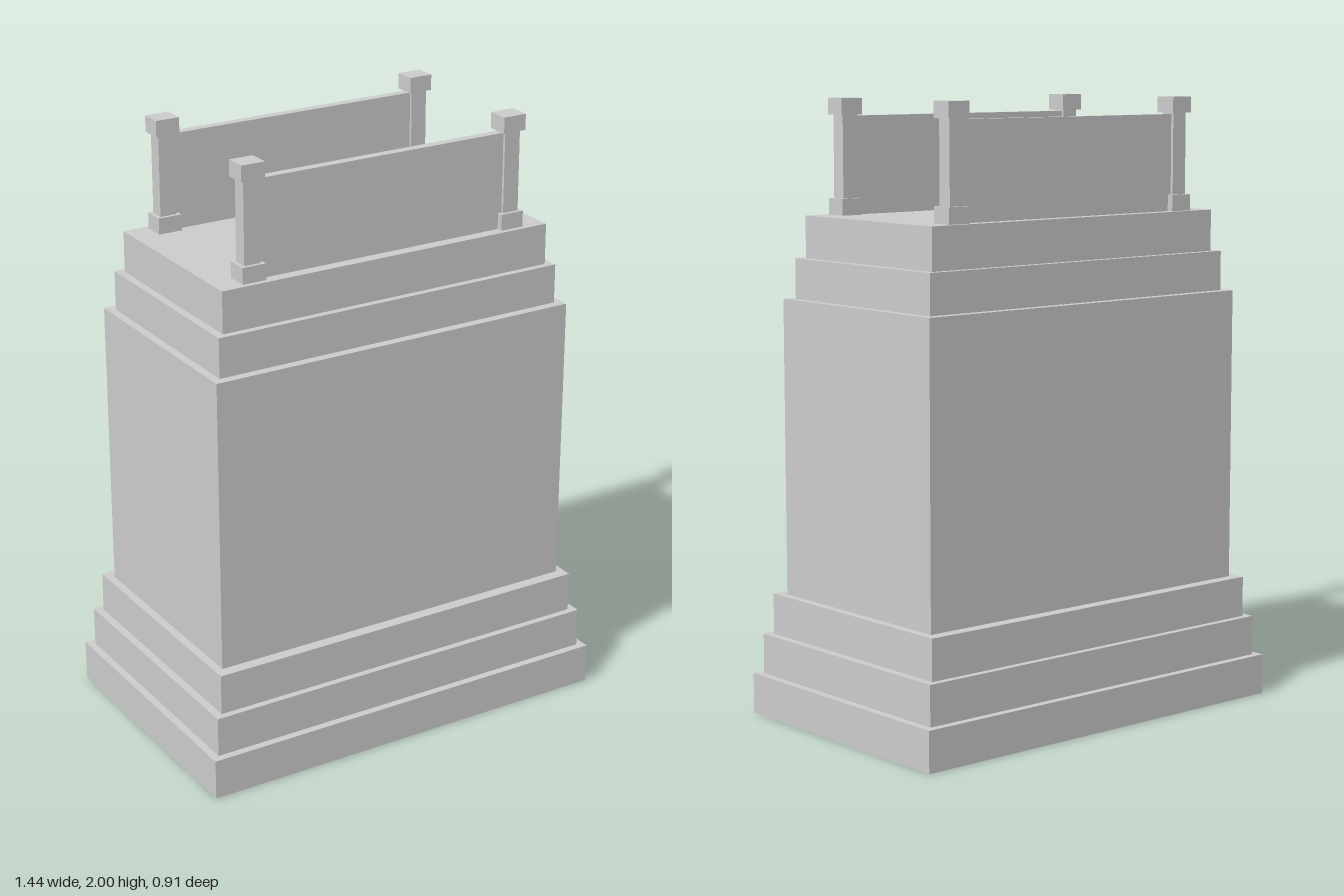
import * as THREE from 'three';

const grey = new THREE.MeshStandardMaterial({ color: 0xcccccc });
const greyDouble = new THREE.MeshStandardMaterial({ color: 0xcccccc, side: THREE.DoubleSide });

// Box given by its width, depth, bottom and top
function block(name, w, d, y0, y1, x = 0, z = 0) {
  const mesh = new THREE.Mesh(new THREE.BoxGeometry(w, y1 - y0, d), grey);
  mesh.name = name;
  mesh.position.set(x, (y0 + y1) / 2, z);
  return mesh;
}

export function createModel() {
  const model = new THREE.Group();
  model.name = 'pedestal';

  // Lowest plinth step: hollow, open underneath
  const plinth = block('plinthBottom', 1.442, 0.914, 0, 0.134);
  const faces = Array.from(plinth.geometry.index.array);
  faces.splice(18, 6); // drop the underside
  plinth.geometry.setIndex(faces);
  plinth.geometry.clearGroups();
  plinth.material = greyDouble;
  model.add(plinth);

  // Stacked tiers: name, width, depth, bottom, top
  const tiers = [
    ['plinthMiddle', 1.392, 0.864, 0.134, 0.266],
    ['plinthTop', 1.34, 0.82, 0.266, 0.4],
    ['body', 1.286, 0.742, 0.4, 1.364],
    ['corniceLower', 1.232, 0.682, 1.364, 1.494],
    ['corniceUpper', 1.18, 0.638, 1.494, 1.63],
  ];
  for (const tier of tiers) model.add(block(...tier));

  // Front and back railings: a panel between two posts
  for (const side of [1, -1]) {
    const railing = new THREE.Group();
    railing.name = side > 0 ? 'frontRailing' : 'backRailing';
    const z = side * 0.266;
    railing.add(block('panel', 0.9, 0.03, 1.63, 1.944, 0, z));
    for (const x of [-0.469, 0.469]) {
      railing.add(
        block('postBase', 0.081, 0.072, 1.63, 1.683, x, z),
        block('postShaft', 0.056, 0.049, 1.683, 1.948, x, z),
        block('postCap', 0.081, 0.072, 1.948, 2, x, z),
      );
    }
    model.add(railing);
  }
  return model;
}
